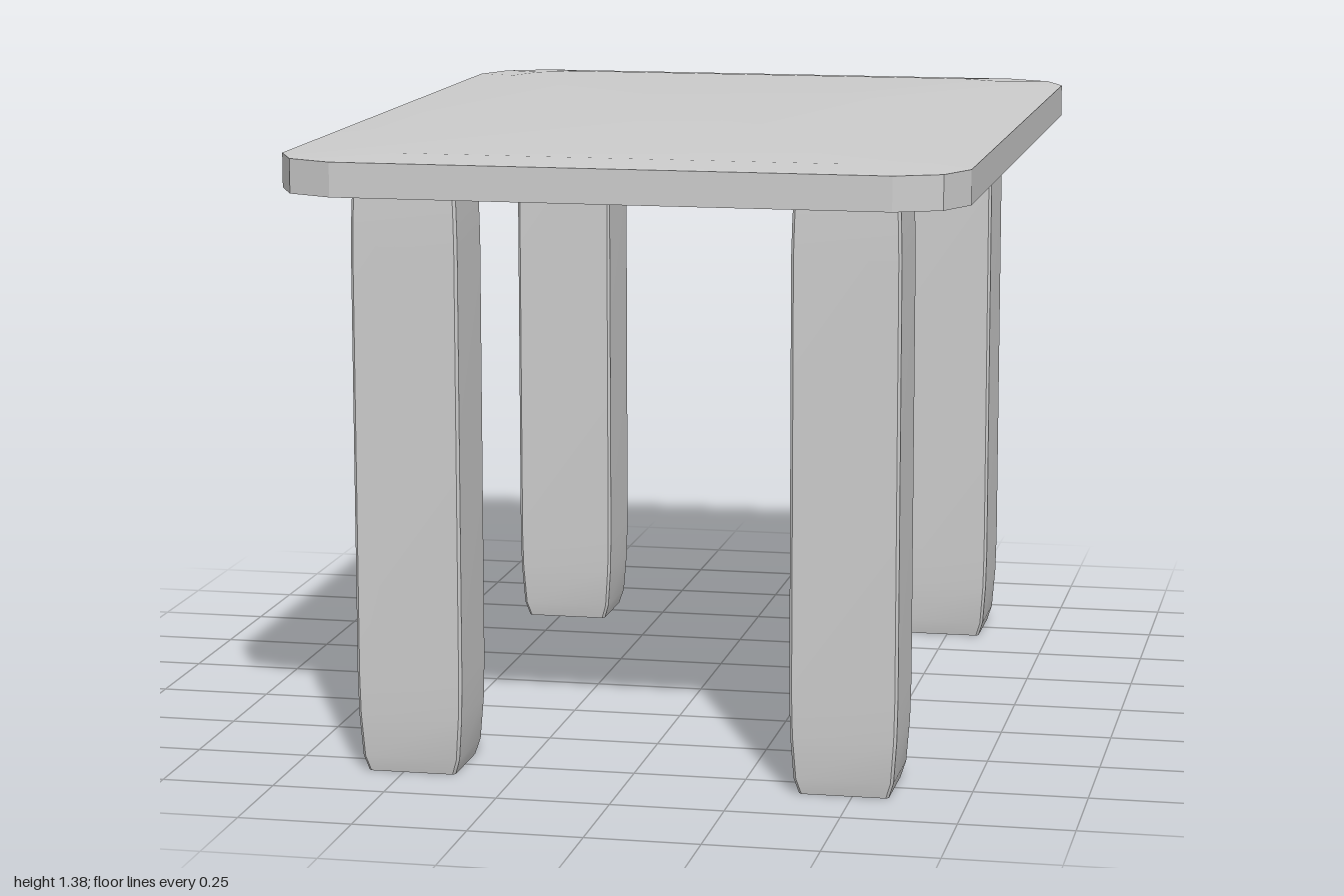
import * as THREE from 'three';
import { toCreasedNormals } from 'three/addons/utils/BufferGeometryUtils.js';

const material = new THREE.MeshStandardMaterial({ color: 0xcccccc });

// Mirror one corner (ordered from +x towards +z) into a closed outline
function mirrorCorner(corner) {
  const back = [...corner].reverse();
  return [
    ...corner,
    ...back.map(([x, z]) => [-x, z]),
    ...corner.map(([x, z]) => [-x, -z]),
    ...back.map(([x, z]) => [x, -z]),
  ];
}

// Join rings { y, outline } from bottom to top and cap both ends
function loft(rings) {
  const n = rings[0].outline.length;
  const positions = [];
  const index = [];
  for (const { y, outline } of rings) {
    for (const [x, z] of outline) positions.push(x, y, z);
  }
  const bottom = rings.length * n;
  const last = (rings.length - 1) * n;
  positions.push(0, rings[0].y, 0, 0, rings[rings.length - 1].y, 0);
  for (let i = 0; i < n; i++) {
    const j = (i + 1) % n;
    for (let r = 0; r < last; r += n) {
      index.push(r + i, r + n + i, r + j, r + j, r + n + i, r + n + j);
    }
    index.push(bottom, i, j, bottom + 1, last + j, last + i);
  }
  const geometry = new THREE.BufferGeometry();
  geometry.setAttribute('position', new THREE.Float32BufferAttribute(positions, 3));
  geometry.setIndex(index);
  return toCreasedNormals(geometry, 0.4);
}

// Slab with faceted corners and very slightly crowned faces
function tabletopGeometry() {
  const ring = (y, inset) => ({
    y,
    outline: mirrorCorner([[0.745, 0.86], [0.70, 0.955], [0.60, 1]]
      .map(([x, z]) => [x - inset, z - inset])),
  });
  return loft([ring(1.285, 0.11), ring(1.293, 0), ring(1.368, 0), ring(1.377, 0.11)]);
}

// Square post with fine chamfered edges and a tapered foot
function legGeometry() {
  const ring = (y, inset) => {
    const x = 0.118 - inset, z = 0.105 - inset * 0.7, c = 0.006;
    return { y, outline: mirrorCorner([[x, z - c], [x - c, z]]) };
  };
  return loft([
    ring(0, 0.02), ring(0.035, 0.009), ring(0.13, 0.002), ring(0.22, 0),
    ring(1.17, 0), ring(1.25, 0.002), ring(1.31, 0.005),
  ]);
}

export function createModel() {
  const table = new THREE.Group();
  table.name = 'table';

  const top = new THREE.Mesh(tabletopGeometry(), material);
  top.name = 'tabletop';
  table.add(top);

  // Four legs
  const geometry = legGeometry();
  for (const [side, sx] of [['Left', 1], ['Right', -1]]) {
    for (const [end, sz] of [['front', 1], ['back', -1]]) {
      const leg = new THREE.Mesh(geometry, material);
      leg.name = `${end}${side}Leg`;
      leg.position.set(sx * 0.481, 0, sz * 0.748);
      table.add(leg);
    }
  }
  return table;
}
